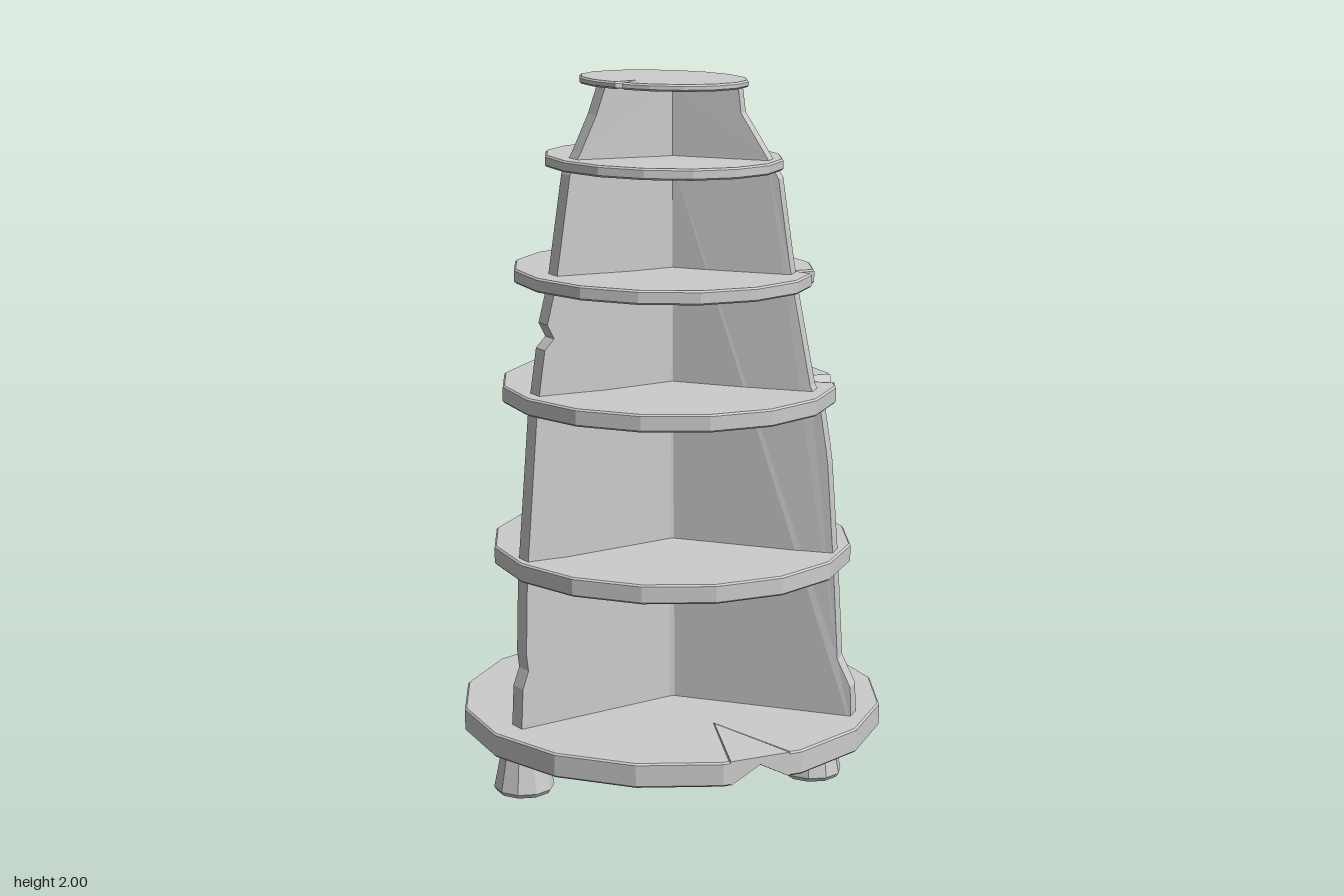
import * as THREE from 'three';
import { ConvexGeometry } from 'three/addons/geometries/ConvexGeometry.js';

const material = new THREE.MeshStandardMaterial({ color: 0xcccccc, flatShading: true, side: THREE.DoubleSide });
const rad = THREE.MathUtils.degToRad;
const SIDES = 16;

function addMesh(parent, name, geometry) {
  const mesh = new THREE.Mesh(geometry, material);
  mesh.name = name;
  parent.add(mesh);
  return mesh;
}

// Point on the rim of a regular polygon, angle in degrees from +x towards +z
function rim(radius, deg) {
  const step = 360 / SIDES;
  const local = ((deg % step) + step) % step - step / 2;
  const r = radius * Math.cos(Math.PI / SIDES) / Math.cos(rad(local));
  return new THREE.Vector2(r * Math.cos(rad(deg)), r * Math.sin(rad(deg)));
}

// Round shelf with V-shaped chips: cut right through, or only partly from the top or bottom
function makeShelf(name, { r, t, x, y, z, tilt, chips = [] }) {
  const shelf = new THREE.Group();
  shelf.name = name;
  const outline = [];
  for (let i = 0; i < SIDES; i++) {
    const deg = i * 360 / SIDES;
    const inChip = chips.some(c => Math.abs(((deg - c.a + 540) % 360) - 180) <= c.w);
    if (!inChip) outline.push({ deg, p: rim(r, deg) });
  }
  for (const c of chips) {
    const left = rim(r, c.a - c.w), mid = rim(r, c.a), right = rim(r, c.a + c.w);
    const tip = mid.clone().setLength(mid.length() - c.d);
    outline.push({ deg: c.a - c.w, p: left }, { deg: c.a, p: tip }, { deg: c.a + c.w, p: right });
    if (c.from === 'through') continue;
    // Two sloping facets left inside a partial chip
    const base = c.from === 'top' ? 0 : t;
    const at = (p, h) => new THREE.Vector3(p.x, h, p.y);
    for (const side of [left, right]) {
      addMesh(shelf, 'chipFacet', new ConvexGeometry([
        at(side, 0), at(side, t), at(tip, 0), at(tip, t), at(mid, base), at(mid, c.level),
      ]));
    }
  }
  outline.sort((a, b) => a.deg - b.deg);
  const bevel = 0.005;
  const geometry = new THREE.ExtrudeGeometry(new THREE.Shape(outline.map(o => o.p)), {
    depth: t - 2 * bevel, bevelSize: bevel, bevelThickness: bevel, bevelOffset: -bevel, bevelSegments: 1,
  });
  geometry.rotateX(Math.PI / 2).translate(0, t - bevel, 0);
  addMesh(shelf, 'shelfBoard', geometry);
  shelf.position.set(x, y, z);
  shelf.rotation.z = tilt;
  return shelf;
}

// Upright divider: outer profile of [radius, height], turning slightly from bottom to top
function makeDivider(name, bottomDeg, topDeg, profile) {
  const inner = profile.map(([, y]) => [0.005, y]).reverse();
  const shape = new THREE.Shape([...profile, ...inner].map(([x, y]) => new THREE.Vector2(x, y)));
  const thickness = 0.052;
  const geometry = new THREE.ExtrudeGeometry(shape, { depth: thickness, bevelEnabled: false });
  geometry.translate(0, 0, -thickness / 2);
  const pos = geometry.attributes.position;
  const up = new THREE.Vector3(0, 1, 0);
  const v = new THREE.Vector3();
  for (let i = 0; i < pos.count; i++) {
    v.fromBufferAttribute(pos, i);
    const k = (v.y - 0.15) / 1.83;
    v.applyAxisAngle(up, -rad(THREE.MathUtils.lerp(bottomDeg, topDeg, k)));
    pos.setXYZ(i, v.x, v.y, v.z);
  }
  geometry.computeVertexNormals();
  const mesh = new THREE.Mesh(geometry, material);
  mesh.name = name;
  return mesh;
}

export function createModel() {
  const model = new THREE.Group();
  model.name = 'tieredStand';

  // Six shelves, largest at the bottom
  const shelves = [
    { r: 0.615, t: 0.07, x: 0, y: 0.115, z: 0, tilt: 0, chips: [
      { a: 57, w: 8.5, d: 0.3, from: 'bottom', level: 0.048 },
      { a: 228, w: 6.5, d: 0.17, from: 'top', level: 0.018 }] },
    { r: 0.522, t: 0.055, x: 0.002, y: 0.61, z: 0.003, tilt: -0.005 },
    { r: 0.483, t: 0.05, x: -0.007, y: 1.08, z: 0.003, tilt: -0.01, chips: [
      { a: 347, w: 7, d: 0.22, from: 'top', level: 0.012 }] },
    { r: 0.433, t: 0.04, x: -0.02, y: 1.42, z: 0.005, tilt: -0.015, chips: [
      { a: 360, w: 4.5, d: 0.06, from: 'through' }].map(c => ({ ...c, a: 0.01 })) },
    { r: 0.34, t: 0.032, x: -0.02, y: 1.745, z: 0.008, tilt: -0.02 },
    { r: 0.24, t: 0.02, x: -0.02, y: 1.974, z: 0.006, tilt: -0.025, chips: [
      { a: 112, w: 2.8, d: 0.09, from: 'through' }] },
  ];
  shelves.forEach((s, i) => model.add(makeShelf(`shelf${i + 1}`, s)));

  // Three dividers with worn outer edges
  model.add(
    makeDivider('leftDivider', 11, 7, [
      [0.56, 0.15], [0.555, 0.27], [0.515, 0.35], [0.498, 0.62], [0.475, 0.92], [0.468, 0.97],
      [0.45, 1.08], [0.42, 1.14], [0.365, 1.42], [0.352, 1.5], [0.32, 1.72], [0.285, 1.78],
      [0.21, 1.9], [0.2, 1.98]]),
    makeDivider('rightDivider', 136, 142, [
      [0.535, 0.15], [0.525, 0.3], [0.505, 0.35], [0.51, 0.4], [0.5, 0.62], [0.455, 1.08],
      [0.425, 1.26], [0.395, 1.29], [0.415, 1.33], [0.385, 1.44], [0.335, 1.74], [0.3, 1.8],
      [0.25, 1.9], [0.22, 1.98]]),
    makeDivider('backDivider', 249, 243, [
      [0.53, 0.15], [0.5, 0.62], [0.485, 0.79], [0.46, 0.81], [0.47, 0.86], [0.465, 1.08],
      [0.435, 1.14], [0.385, 1.42], [0.335, 1.52], [0.325, 1.57], [0.335, 1.62], [0.32, 1.74],
      [0.29, 1.79], [0.285, 1.91], [0.24, 1.98]]),
  );

  // Centre post
  addMesh(model, 'centrePost', new THREE.CylinderGeometry(0.03, 0.036, 1.84, 8)).position.set(0, 1.06, 0);

  // Flared feet under the dividers
  const footProfile = [[0, 0], [0.078, 0], [0.086, 0.012], [0.062, 0.13]]
    .map(([x, y]) => new THREE.Vector2(x, y));
  [[0.43, 0.11], [-0.365, 0.37], [-0.225, -0.462]].forEach(([x, z], i) => {
    addMesh(model, `foot${i + 1}`, new THREE.LatheGeometry(footProfile, 10)).position.set(x, 0, z);
  });

  return model;
}
